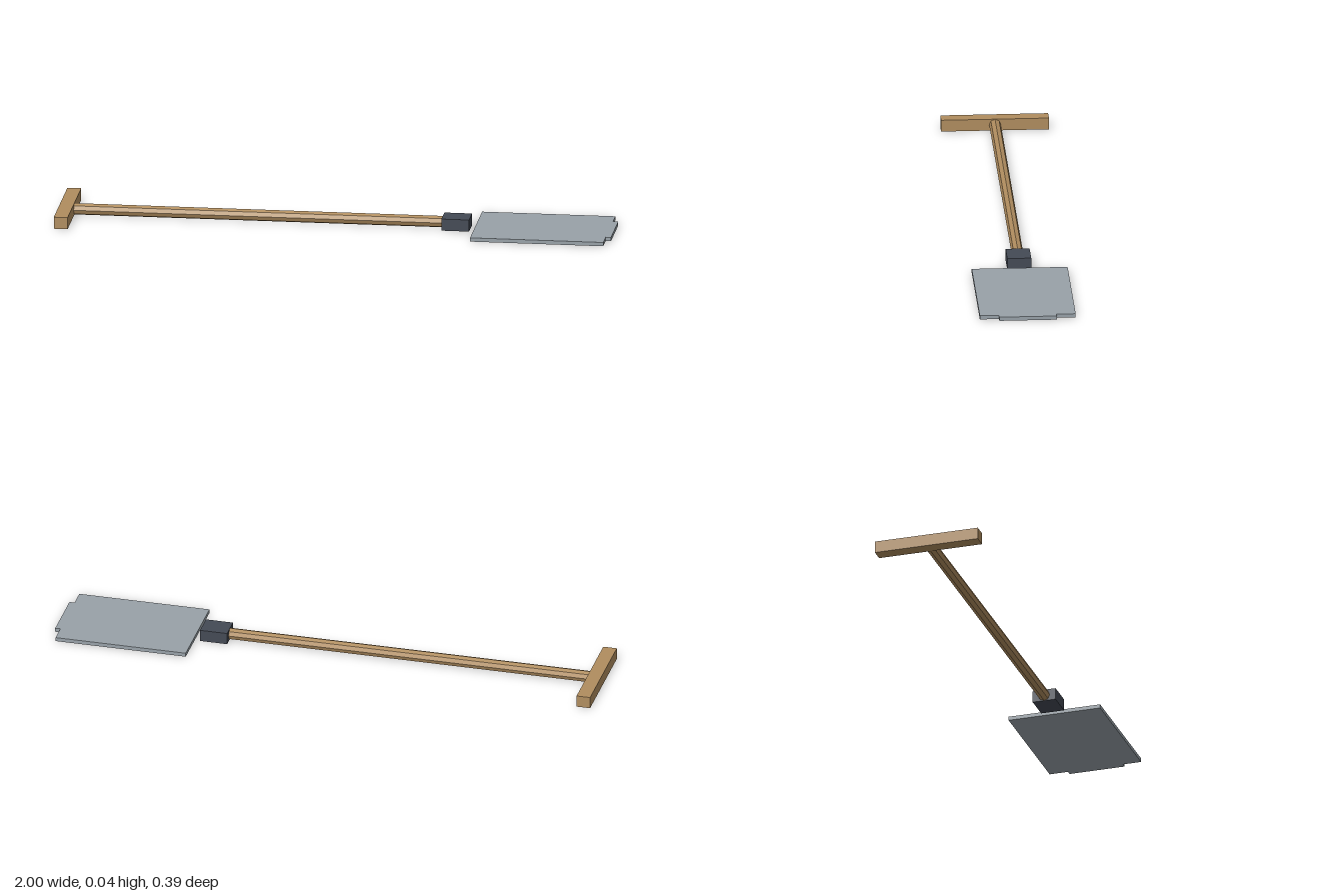
import * as THREE from 'three';

export function createModel() {
  const group = new THREE.Group();
  const mat = (name, color) => {
    const m = new THREE.MeshStandardMaterial({ color, flatShading: true });
    m.name = name;
    return m;
  };
  const wood = mat('wood', 0xb08d5f);
  const steel = mat('steel', 0x98a1a8);
  const iron = mat('darkIron', 0x444a55);

  const H = 0.043; // overall height
  const add = (name, geometry, material, x, y) => {
    const mesh = new THREE.Mesh(geometry, material);
    mesh.name = name;
    mesh.position.set(x, y, 0);
    group.add(mesh);
    return mesh;
  };

  // T-shaped grip and faceted shaft
  add('crossGrip', new THREE.BoxGeometry(0.05, H, 0.387), wood, -0.975, H / 2);
  const shaft = add('shaft', new THREE.CylinderGeometry(0.021, 0.021, 1.335, 8), wood, -0.285, H / 2);
  shaft.rotation.z = Math.PI / 2;

  // Square socket at the end of the shaft
  add('socket', new THREE.BoxGeometry(0.1, H, 0.086), iron, 0.43, H / 2);

  // Flat blade with a narrower stepped tip
  const outline = [[0.5, -0.172], [0.981, -0.172], [0.981, -0.103], [1, -0.103],
    [1, 0.103], [0.981, 0.103], [0.981, 0.172], [0.5, 0.172]];
  const shape = new THREE.Shape(outline.map(([x, y]) => new THREE.Vector2(x, y)));
  const blade = new THREE.ExtrudeGeometry(shape, { depth: 0.014, bevelEnabled: false });
  blade.rotateX(-Math.PI / 2);
  add('blade', blade, steel, 0, 0);

  return group;
}
